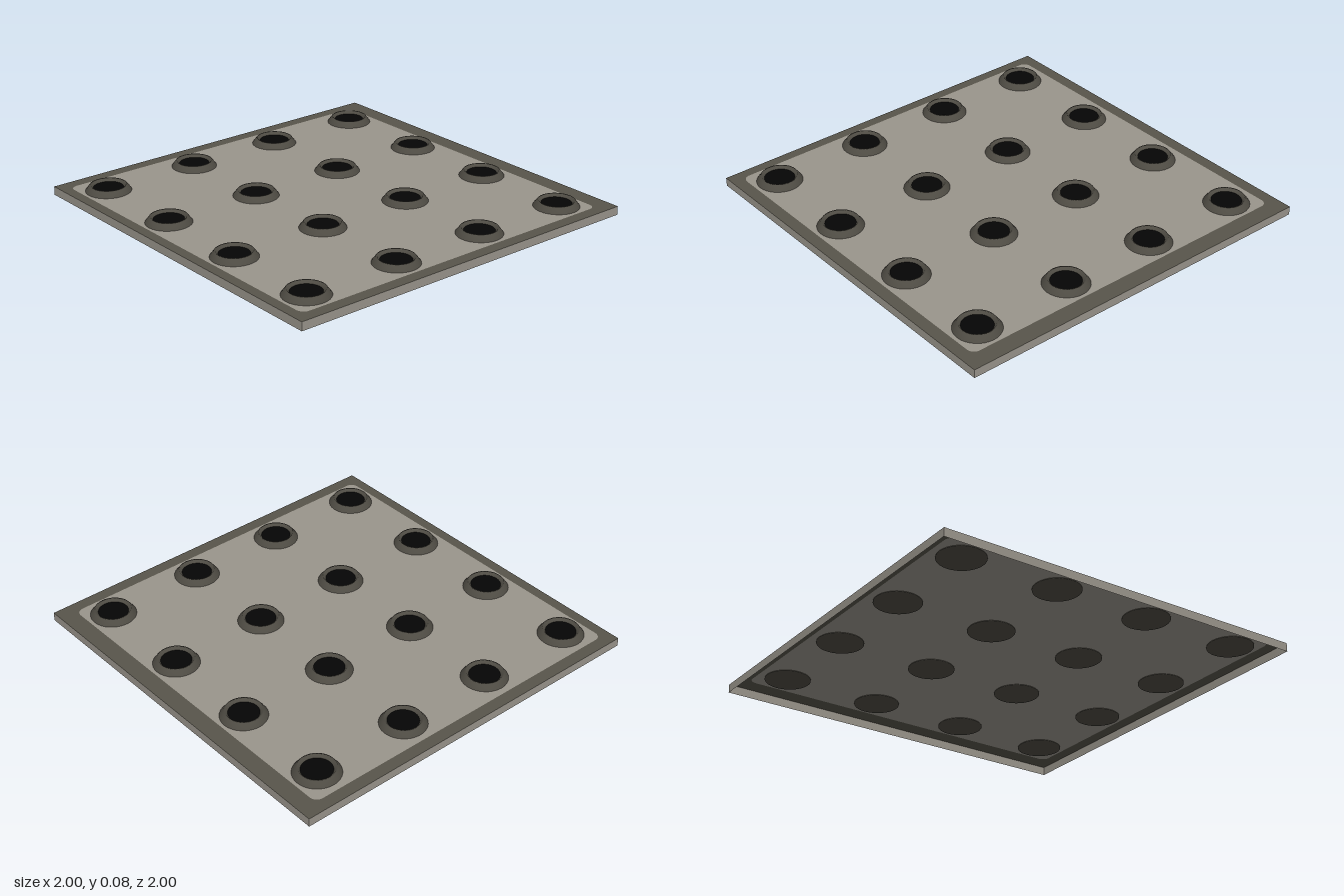
import * as THREE from 'three';

const HEIGHT = 0.045;

function makeMaterial(name, color) {
  const m = new THREE.MeshStandardMaterial({ color, side: THREE.DoubleSide });
  m.name = name;
  return m;
}

// Rounded rectangle traced counter-clockwise
function roundedRect(path, x0, y0, x1, y1, r) {
  path.moveTo(x0 + r, y0);
  path.lineTo(x1 - r, y0);
  path.absarc(x1 - r, y0 + r, r, -Math.PI / 2, 0);
  path.lineTo(x1, y1 - r);
  path.absarc(x1 - r, y1 - r, r, 0, Math.PI / 2);
  path.lineTo(x0 + r, y1);
  path.absarc(x0 + r, y1 - r, r, Math.PI / 2, Math.PI);
  path.lineTo(x0, y0 + r);
  path.absarc(x0 + r, y0 + r, r, Math.PI, Math.PI * 1.5);
  return path;
}

export function createModel() {
  const model = new THREE.Group();
  model.name = 'studdedPlate';
  const lightGrey = makeMaterial('lightGrey', 0x9a958c);
  const darkOlive = makeMaterial('darkOlive', 0x58554b);
  const studGrey = makeMaterial('studGrey', 0x4e4b43);
  const black = makeMaterial('black', 0x050505);

  const add = (name, geometry, material, parent = model) => {
    const mesh = new THREE.Mesh(geometry, material);
    mesh.name = name;
    parent.add(mesh);
    return mesh;
  };
  const flat = (shape) => new THREE.ShapeGeometry(shape, 8).rotateX(-Math.PI / 2).translate(0, HEIGHT, 0);

  // Top surface: dark border around a slightly off-centre light panel
  const bounds = [-0.946, -0.936, 0.908, 0.936, 0.04];
  const border = new THREE.Shape();
  border.moveTo(-1, -1).lineTo(1, -1).lineTo(1, 1).lineTo(-1, 1).closePath();
  border.holes.push(roundedRect(new THREE.Path(), ...bounds));
  add('border', flat(border), darkOlive);
  add('panel', flat(roundedRect(new THREE.Shape(), ...bounds)), lightGrey);

  // Thin side walls; the plate is open underneath
  for (let i = 0; i < 4; i++) {
    const wall = new THREE.PlaneGeometry(2, HEIGHT).translate(0, HEIGHT / 2, 1).rotateY(i * Math.PI / 2);
    add('sideWall', wall, lightGrey);
  }

  // Studs: tapered cups with a closed base and a black well
  const profile = [[0, 0.041], [0.117, 0.041], [0.117, 0.045], [0.095, 0.075], [0.088, 0.075], [0.076, 0.06]]
    .map(([x, y]) => new THREE.Vector2(x, y));
  const cup = new THREE.LatheGeometry(profile, 32);
  const well = new THREE.CircleGeometry(0.077, 32).rotateX(-Math.PI / 2).translate(0, 0.061, 0);
  for (const x of [-0.813, -0.283, 0.246, 0.773]) {
    for (const z of [-0.785, -0.256, 0.271, 0.8]) {
      const stud = new THREE.Group();
      stud.name = 'stud';
      stud.position.set(x, 0, z);
      add('studCup', cup, studGrey, stud);
      add('studWell', well, black, stud);
      model.add(stud);
    }
  }
  return model;
}
